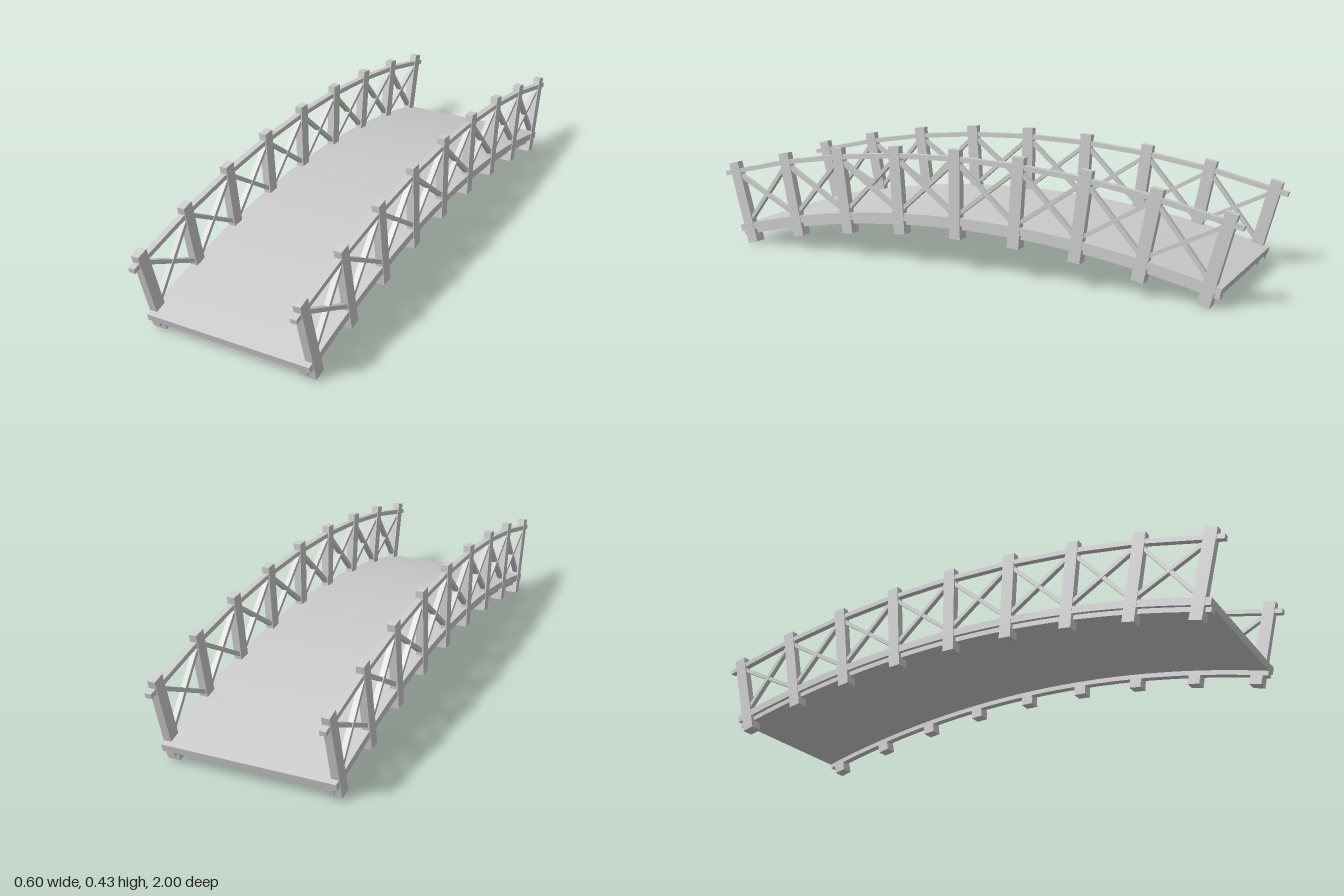
import * as THREE from 'three';
import { toCreasedNormals } from 'three/addons/utils/BufferGeometryUtils.js';

const CENTRE_Y = -3.4;                          // centre of the bridge's arc
const STEP = THREE.MathUtils.degToRad(3.625);   // angle between posts
const END = 0.2645;                             // half angle of deck and stringers
const DECK_TOP = 3.593, DECK_BOTTOM = 3.567, RAIL = 3.797;

export function createModel() {
  const bridge = new THREE.Group();
  bridge.name = 'archedFootbridge';
  const material = new THREE.MeshStandardMaterial({ color: 0xcccccc });

  const add = (name, geometry, parent = bridge) => {
    const mesh = new THREE.Mesh(geometry, material);
    mesh.name = name;
    parent.add(mesh);
    return mesh;
  };

  // Point on the arc, as (y, z)
  const polar = (r, a) => ({ y: CENTRE_Y + r * Math.cos(a), z: r * Math.sin(a) });

  // Straight timber between two points in the side plane
  const beam = (name, p, q, x, width, thickness, parent) => {
    const dy = q.y - p.y, dz = q.z - p.z;
    const mesh = add(name, new THREE.BoxGeometry(width, Math.hypot(dy, dz), thickness), parent);
    mesh.position.set(x, (p.y + q.y) / 2, (p.z + q.z) / 2);
    mesh.rotation.x = Math.atan2(dz, dy);
  };

  // Curved slab following the arc between two radii
  const archSlab = (name, inner, outer, x, width, parent) => {
    const shape = new THREE.Shape();
    shape.absarc(0, CENTRE_Y, outer, Math.PI / 2 - END, Math.PI / 2 + END, false);
    shape.absarc(0, CENTRE_Y, inner, Math.PI / 2 + END, Math.PI / 2 - END, true);
    shape.closePath();
    const geometry = new THREE.ExtrudeGeometry(shape, { depth: width, bevelEnabled: false, curveSegments: 24 });
    geometry.translate(0, 0, -width / 2).rotateY(-Math.PI / 2);
    add(name, toCreasedNormals(geometry, 0.3), parent).position.x = x;
  };

  archSlab('deck', DECK_BOTTOM, DECK_TOP, 0, 0.596);

  for (const side of [-1, 1]) {
    const railing = new THREE.Group();
    railing.name = side > 0 ? 'leftRailing' : 'rightRailing';
    bridge.add(railing);

    archSlab('stringer', 3.55, DECK_BOTTOM + 0.002, side * 0.271, 0.028, railing);

    // Radial posts, each with a wider foot under the deck
    for (let i = -4; i <= 4; i++) {
      const a = i * STEP;
      beam('post', polar(DECK_BOTTOM, a), polar(3.83, a), side * 0.2865, 0.027, 0.043, railing);
      beam('postFoot', polar(3.518, a), polar(DECK_BOTTOM, a), side * 0.2785, 0.043, 0.043, railing);
    }

    // Handrail pieces and crossed braces in each bay
    for (let i = -4; i < 4; i++) {
      const a = i * STEP, b = a + STEP;
      const railStart = i === -4 ? -0.266 : a;
      const railEnd = i === 3 ? 0.266 : b;
      beam('handrail', polar(RAIL, railStart), polar(RAIL, railEnd), side * 0.287, 0.022, 0.017, railing);
      beam('brace', polar(3.597, a), polar(3.79, b), side * 0.2875, 0.018, 0.014, railing);
      beam('brace', polar(3.79, a), polar(3.597, b), side * 0.2855, 0.018, 0.014, railing);
    }
  }
  return bridge;
}
